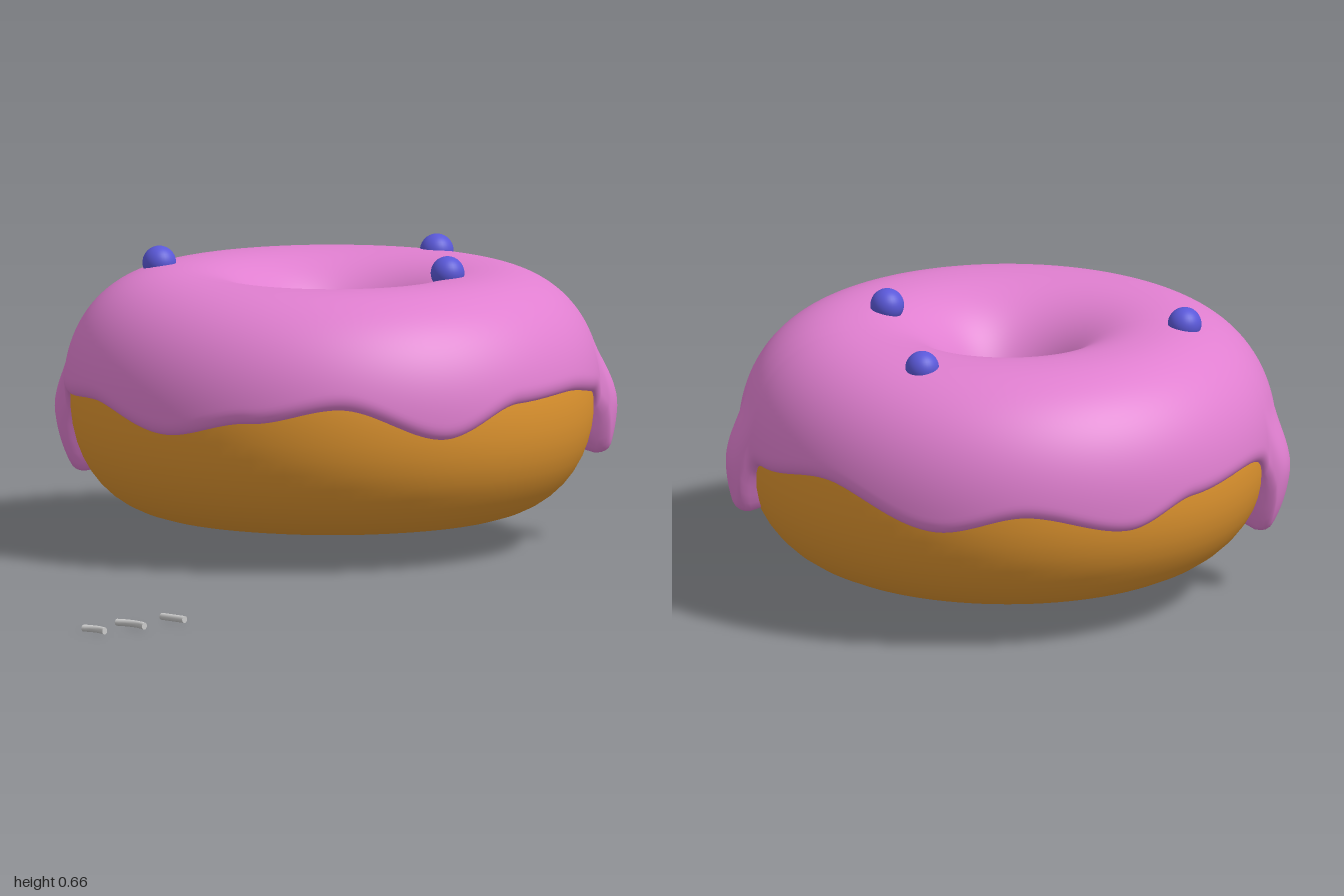
import * as THREE from 'three';

const CENTER = new THREE.Vector3(0.385, 0.34, -0.025);
const RING = 0.345, HALF_W = 0.245, HALF_H = 0.268, POWER = 2.2;
const RAD = Math.PI / 180;

const mat = (color) => new THREE.MeshStandardMaterial({ color, roughness: 0.6 });

// Point on the puffed ring: theta runs round the hole, phi round the tube, t lifts off the surface
function ringPoint(theta, phi, t) {
  const c = Math.cos(phi), s = Math.sin(phi);
  const k = Math.pow(Math.abs(c) ** POWER + Math.abs(s) ** POWER, -1 / POWER);
  const r = RING + (HALF_W + t) * k * c;
  return [r * Math.cos(theta), (HALF_H + t) * k * s, r * Math.sin(theta)];
}

// Smooth surface, closed in theta and optionally in phi
function sweep(nTheta, nPhi, closed, point) {
  const pos = [], idx = [], rows = closed ? nPhi : nPhi + 1;
  for (let i = 0; i < nTheta; i++)
    for (let j = 0; j < rows; j++) pos.push(...point((i / nTheta) * Math.PI * 2, j / nPhi));
  for (let i = 0; i < nTheta; i++)
    for (let j = 0; j < nPhi; j++) {
      const i2 = (i + 1) % nTheta, j2 = (j + 1) % rows;
      const a = i * rows + j, b = i * rows + j2, c = i2 * rows + j, d = i2 * rows + j2;
      idx.push(a, b, c, b, d, c);
    }
  const g = new THREE.BufferGeometry();
  g.setAttribute('position', new THREE.Float32BufferAttribute(pos, 3));
  g.setIndex(idx);
  g.computeVertexNormals();
  return g;
}

// Wavy outer hem of the icing: [angle in degrees, height]
const HEM = [[7, 0.375], [30, 0.34], [53, 0.36], [72, 0.38], [90, 0.375], [110, 0.31], [134, 0.385],
  [154, 0.35], [175, 0.31], [200, 0.36], [222, 0.345], [240, 0.33], [258, 0.35], [278, 0.335],
  [295, 0.285], [319, 0.335], [338, 0.295]];

function hemHeight(theta) {
  let deg = theta / RAD;
  if (deg < HEM[0][0]) deg += 360;
  const n = HEM.length;
  for (let i = 0; i < n; i++) {
    const [a0, y0] = HEM[i];
    const a1 = i + 1 < n ? HEM[i + 1][0] : HEM[0][0] + 360;
    const y1 = HEM[(i + 1) % n][1];
    if (deg <= a1) {
      const f = (deg - a0) / (a1 - a0);
      return y0 + (y1 - y0) * f * f * (3 - 2 * f);
    }
  }
  return HEM[0][1];
}

// Two drips running down from the hem
const DRIPS = [{ angle: 43, low: 0.21, width: 5.6 }, { angle: 239, low: 0.16, width: 5.6 }];

function icingPoint(theta, s) {
  const base = hemHeight(theta);
  let edge = base, bulge = 0;
  for (const { angle, low, width } of DRIPS) {
    const q = Math.abs(theta / RAD - angle) / width;
    edge += (low - base) / (1 + q ** 5);
    bulge += 0.036 * Math.sqrt(Math.max(0, 1 - (q / 1.15) ** 2));
  }
  // Outer hem and inner hem as tube angles
  const v = (edge - CENTER.y) / HALF_H;
  const phi0 = Math.atan2(v, (1 - Math.abs(v) ** POWER) ** (1 / POWER));
  const phi1 = Math.PI + 0.03 - 0.15 * Math.cos(3 * (theta - 50 * RAD));
  // Rows crowd towards both hems so that the rims are round
  const e = 0.4 * s + 0.6 * s * s * (3 - 2 * s);
  const phi = phi0 + (phi1 - phi0) * e;
  const rim = Math.min(1, Math.min(phi - phi0, phi1 - phi) / 0.13);
  const round = Math.sqrt(Math.max(0, 1 - (1 - rim) ** 2));
  const y = CENTER.y + HALF_H * Math.sin(phi);
  const fade = 1 - THREE.MathUtils.smoothstep(y, base - 0.04, base + 0.1);
  const inOuter = phi < Math.PI / 2 ? 1 : 0;
  return ringPoint(theta, phi, -0.008 + round * (0.024 + bulge * fade * inOuter));
}

export function createModel() {
  const model = new THREE.Group();
  const add = (name, geometry, material, x, y, z) => {
    const mesh = new THREE.Mesh(geometry, material);
    mesh.name = name;
    mesh.position.set(x, y, z);
    model.add(mesh);
    return mesh;
  };

  // Dough ring
  const dough = sweep(96, 48, true, (theta, s) => ringPoint(theta, s * Math.PI * 2, 0));
  add('dough', dough, mat(0xe0952f), CENTER.x, CENTER.y, CENTER.z);

  // Icing with wavy hem and drips
  const icingMat = mat(0xe07fd0);
  icingMat.side = THREE.DoubleSide;
  add('icing', sweep(480, 72, false, icingPoint), icingMat, CENTER.x, CENTER.y, CENTER.z);

  // Round candies on top
  const candy = new THREE.SphereGeometry(0.038, 32, 20);
  const candyMat = mat(0x5a58d8);
  for (const [x, y, z] of [[0.18, 0.624, -0.37], [0.49, 0.63, 0.235], [0.78, 0.618, -0.085]])
    add('candyBall', candy, candyMat, x, y, z);

  // Loose sprinkles on the ground: short rods, some gently bent
  const rodMat = mat(0xcccccc);
  for (const [x, length, bend] of [[-0.991, 0.066, 0.008], [-0.873, 0.086, 0.01], [-0.742, 0.072, 0]]) {
    const g = new THREE.CylinderGeometry(0.008, 0.008, length, 16, 10);
    const p = g.attributes.position;
    for (let i = 0; i < p.count; i++)
      p.setX(i, p.getX(i) + bend * (0.5 - (2 * p.getY(i) / length) ** 2));
    g.rotateX(Math.PI / 2);
    g.computeVertexNormals();
    add('sprinkle', g, rodMat, x, 0.011, 0.583);
  }
  return model;
}
